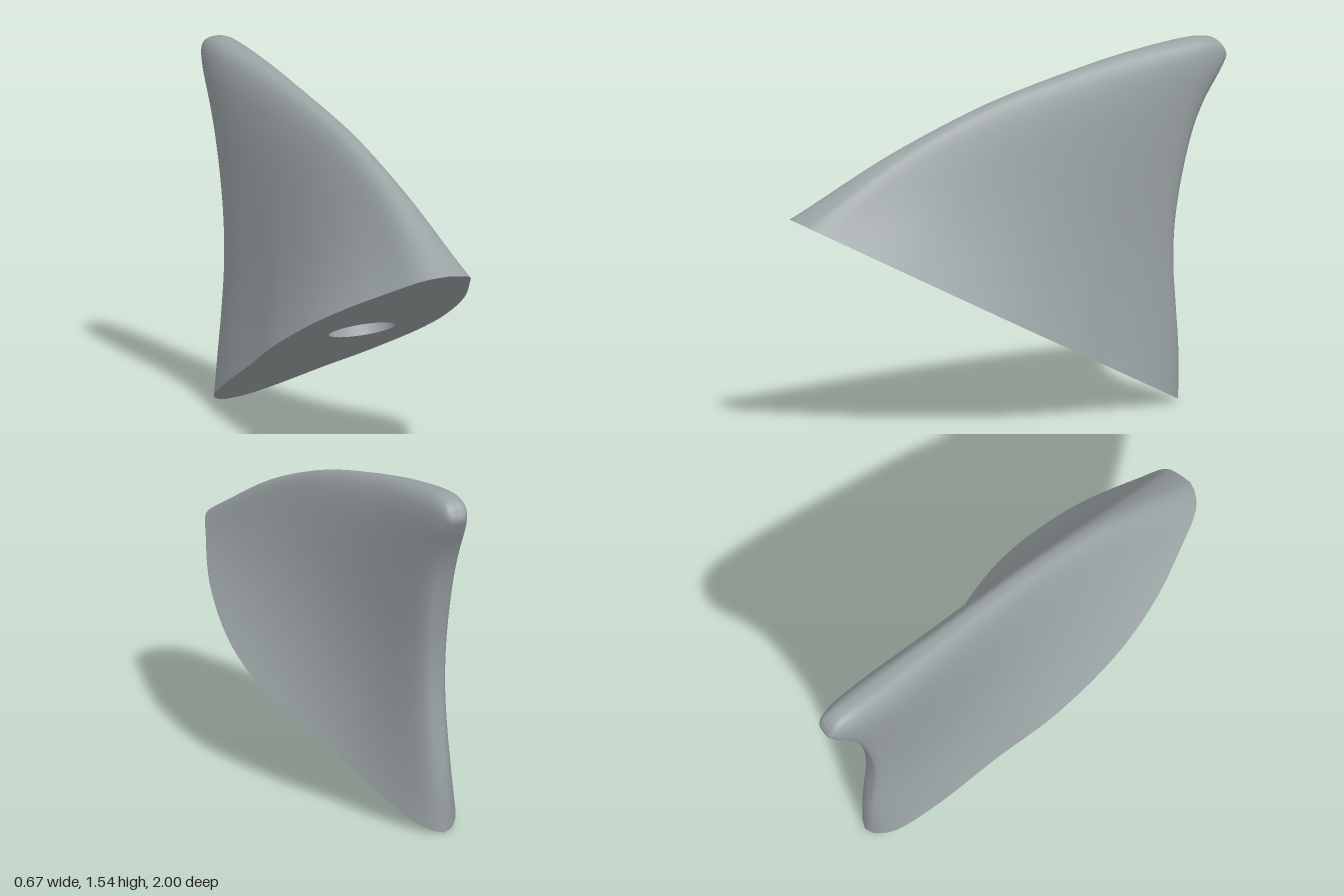
import * as THREE from 'three';

const BASE_H = 0.905;                       // height of the slanted base's front edge
const baseZ = (y) => 1 - (BASE_H - y) * 1.8 / BASE_H;
const curve = (pts) => new THREE.CatmullRomCurve3(pts.map(([x, y, z = 0]) => new THREE.Vector3(x, y, z)));

// Joins closed rings of equal length into a smooth skin
function loft(rings) {
  const n = rings[0].length, index = [];
  for (let i = 0; i < rings.length - 1; i++) {
    for (let j = 0; j < n; j++) {
      const k = (j + 1) % n, a = i * n, b = a + n;
      index.push(a + j, a + k, b + j, a + k, b + k, b + j);
    }
  }
  const g = new THREE.BufferGeometry().setFromPoints(rings.flat());
  g.setIndex(index);
  g.computeVertexNormals();
  return g;
}

// Base outline, seen from the front: each half runs from the leading to the trailing end
const rightHalf = curve([[0.05, 0.905], [0.11, 0.897], [0.17, 0.88], [0.21, 0.832], [0.3, 0.7], [0.335, 0.565],
  [0.315, 0.465], [0.2, 0.305], [0.1, 0.21], [0, 0.1], [-0.07, 0.038], [-0.125, 0.01], [-0.175, 0]]);
const leftHalf = curve([[0.05, 0.905], [0, 0.9], [-0.06, 0.88], [-0.15, 0.805], [-0.24, 0.715], [-0.31, 0.595],
  [-0.337, 0.43], [-0.315, 0.29], [-0.3, 0.14], [-0.27, 0.05], [-0.22, 0.011], [-0.175, 0]]);

// Edge curves from the base to the tip
const leading = curve([[0.05, 0.905, 1], [0.02, 1.14, 0.57], [-0.015, 1.295, 0.2], [-0.04, 1.36, 0], [-0.095, 1.46, -0.4],
  [-0.12, 1.5, -0.6], [-0.143, 1.53, -0.8], [-0.15, 1.535, -0.88], [-0.155, 1.523, -0.95], [-0.157, 1.49, -0.987]]);
const trailing = curve([[-0.175, 0, -0.8], [-0.165, 0.2, -0.797], [-0.158, 0.4, -0.78], [-0.155, 0.57, -0.766],
  [-0.154, 0.75, -0.77], [-0.154, 0.95, -0.8], [-0.156, 1.15, -0.85], [-0.157, 1.27, -0.9], [-0.157, 1.4, -0.977],
  [-0.157, 1.45, -1], [-0.157, 1.49, -0.987]]);

export function createModel() {
  const group = new THREE.Group();
  const grey = new THREE.MeshStandardMaterial({ color: 0x9aa2a4 });
  grey.name = 'grey';
  const add = (name, geometry) => {
    const mesh = new THREE.Mesh(geometry, grey);
    mesh.name = name;
    group.add(mesh);
  };

  // Outline samples: x, fraction u along the chord, side of the blade
  const N = 64, outline = [];
  const sample = (half, k, side) => {
    const p = half.getPointAt(k / N);
    const y = THREE.MathUtils.clamp(p.y, 0, BASE_H);
    outline.push({ x: p.x, y, u: 1 - y / BASE_H, side });
  };
  for (let k = 0; k < N; k++) sample(rightHalf, k, 1);
  for (let k = N; k > 0; k--) sample(leftHalf, k, -1);

  // Fin skin: the base flares only close to the bottom, then becomes a slim blade, blunter at the trailing edge
  const STEPS = 70, rings = [];
  for (let i = 0; i <= STEPS; i++) {
    const t = Math.sin(i / STEPS * Math.PI / 2);
    const L = leading.getPointAt(t), T = trailing.getPointAt(t);
    const flare = (1 - t) ** 4.4;
    const half = (0.088 + 0.04 * t * (1 - t)) * Math.sqrt(Math.max(0, 1 - t ** 12));
    rings.push(outline.map(({ x, u, side }) => {
      const p = L.clone().lerp(T, u);
      const slim = p.x + side * half * Math.max(0, 4 * u * (1 - u)) ** (0.4 - 0.12 * u);
      p.x = THREE.MathUtils.lerp(slim, x, flare);
      return p;
    }));
  }
  add('fin', loft(rings));

  // Mounting socket opening
  const hole = [];
  for (let k = 0; k < 40; k++) {
    const a = k / 40 * Math.PI * 2;
    hole.push(new THREE.Vector2(0.01 + 0.145 * Math.cos(a), 0.502 + 0.052 * Math.sin(a)));
  }

  // Slanted flat base with the opening
  const shape = new THREE.Shape(outline.map(({ x, y }) => new THREE.Vector2(x, y)));
  shape.holes.push(new THREE.Path(hole));
  const base = new THREE.ShapeGeometry(shape);
  const pos = base.attributes.position;
  for (let i = 0; i < pos.count; i++) pos.setZ(i, baseZ(pos.getY(i)));
  base.computeVertexNormals();
  add('base', base);

  // Socket walls and floor, square to the base
  const inward = new THREE.Vector3(0, 0.893, -0.449).multiplyScalar(0.2);
  const rim = hole.map((p) => new THREE.Vector3(p.x, p.y, baseZ(p.y)));
  const end = rim.map((p) => p.clone().add(inward));
  const centre = new THREE.Vector3(0.01, 0.502, baseZ(0.502)).add(inward);
  add('socketWall', loft([rim, end]));
  add('socketFloor', loft([end, end.map(() => centre)]));

  return group;
}
